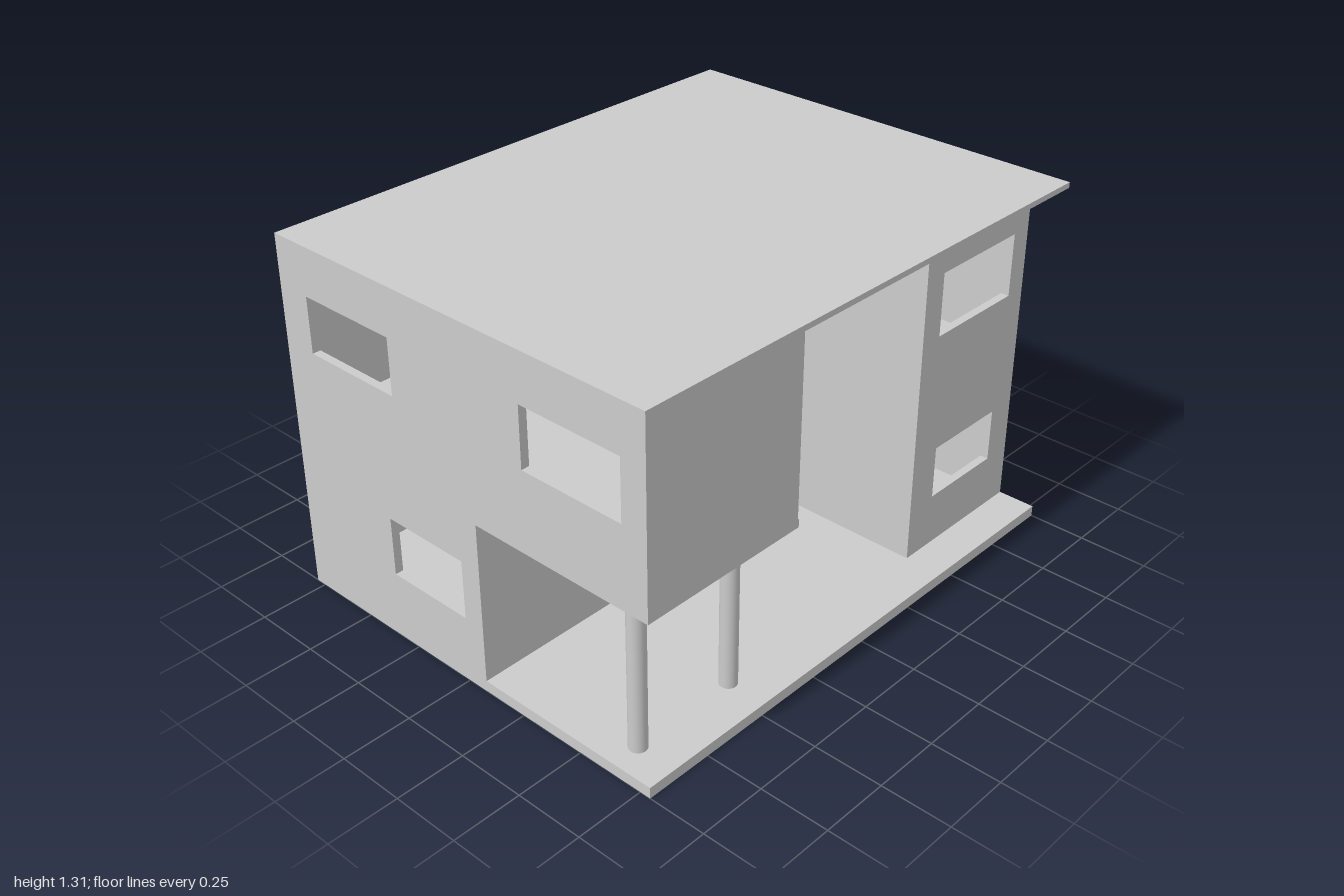
import * as THREE from 'three';

const T = 0.03; // wall thickness
const BACK = -0.79, FRONT = 0.79, MID = 0.08, WING = 0.65;
const LOW = [0.04, 0.63], UP = [0.66, 1.29];

export function createModel() {
  const house = new THREE.Group();
  house.name = 'house';
  const mat = new THREE.MeshStandardMaterial({ color: 0xcccccc });

  const add = (name, geo, x = 0, y = 0, z = 0) => {
    const m = new THREE.Mesh(geo, mat);
    m.name = name;
    m.position.set(x, y, z);
    house.add(m);
    return m;
  };

  const box = (name, x0, x1, y0, y1, z0, z1) =>
    add(name, new THREE.BoxGeometry(x1 - x0, y1 - y0, z1 - z0),
      (x0 + x1) / 2, (y0 + y1) / 2, (z0 + z1) / 2);

  // Wall panel from a to b, holes given as [a0, a1, y0, y1]
  const panel = (a, b, [y0, y1], holes) => {
    const s = new THREE.Shape([[a, y0], [b, y0], [b, y1], [a, y1]].map(p => new THREE.Vector2(...p)));
    for (const [h0, h1, v0, v1] of holes) {
      s.holes.push(new THREE.Path([[h0, v0], [h0, v1], [h1, v1], [h1, v0]].map(p => new THREE.Vector2(...p))));
    }
    return new THREE.ExtrudeGeometry(s, { depth: T, bevelEnabled: false });
  };
  // Wall facing front or back, its front face at z
  const wallZ = (name, z, a, b, ys, holes = []) => add(name, panel(a, b, ys, holes), 0, 0, z - T);
  // Wall facing sideways, its +x face at x
  const wallX = (name, x, a, b, ys, holes = []) => {
    add(name, panel(a, b, ys, holes), x).rotation.y = -Math.PI / 2;
  };

  // Base, roof and the notched floor between the storeys
  box('base', -1, 1, 0, 0.04, BACK, FRONT);
  box('roof', -1, 0.995, 1.29, 1.31, BACK, FRONT);
  const plan = new THREE.Shape([
    [-1, BACK], [1, BACK], [1, WING], [0.43, WING], [0.43, MID], [-0.355, MID], [-0.355, FRONT], [-1, FRONT],
  ].map(p => new THREE.Vector2(...p)));
  const floor = new THREE.ExtrudeGeometry(plan, { depth: 0.03, bevelEnabled: false });
  floor.rotateX(Math.PI / 2);
  add('upperFloor', floor, 0, 0.66, 0);

  // Back walls
  wallZ('backWallLower', BACK + T, -1, 1, LOW, [[0.57, 0.9, 0.235, 0.44], [-0.835, -0.69, 0.425, 0.568]]);
  wallZ('backWallUpper', BACK + T, -1, 1, UP, [[0.58, 0.9, 0.865, 1.075]]);

  // Plain side walls and the windowed side walls
  for (const [tag, ys] of [['Lower', LOW], ['Upper', UP]]) {
    wallX('leftWall' + tag, 1, BACK + T, WING - T, ys);
    wallX('wingInnerWall' + tag, 0.43 + T, BACK + T, WING - T, ys);
  }
  wallX('rightWallLower', -1 + T, BACK + T, MID - T, LOW, [[-0.34, 0, 0.245, 0.46]]);
  wallX('rightWallUpper', -1 + T, BACK + T, FRONT - T, UP,
    [[-0.66, -0.27, 0.935, 1.135], [0.3, 0.695, 0.92, 1.135]]);

  // Front of the wing with its two windows
  wallZ('wingFrontLower', WING, 0.43, 1, LOW, [[0.555, 0.89, 0.235, 0.43]]);
  wallZ('wingFrontUpper', WING, 0.43, 1, UP, [[0.52, 0.92, 0.875, 1.105]]);

  // Recessed entrance wall and balcony door wall
  wallZ('entranceWall', MID, -1, 0.43, LOW, [[-0.165, 0.158, 0.041, 0.42]]);
  wallZ('recessWallUpper', MID, -0.36, 0.43, UP, [[-0.205, 0.255, 0.664, 1.09]]);
  box('balconyDoor', -0.2, 0.25, 0.664, 1.09, MID - T, MID - 0.01);

  // Overhanging room
  wallZ('overhangFront', FRONT, -1, -0.36, UP);
  wallX('overhangInnerWall', -0.36, BACK + T, FRONT - T, UP);

  // Inner partitions
  wallX('partitionLower', -0.36, BACK + T, MID - T, LOW);
  wallZ('wingPartitionLower', MID, 0.68, 1 - T, LOW);
  wallZ('wingPartitionUpper', MID, 0.46, 1 - T, UP);

  // Pillars under the overhang
  for (const x of [-0.895, -0.49]) {
    add('pillar', new THREE.CylinderGeometry(0.031, 0.031, 0.59, 32), x, 0.335, 0.64);
  }

  // Round lamps
  for (const p of [[-0.715, 0.55, 0.43], [-0.028, 0.55, 0.43], [0.71, 1.21, -0.58]]) {
    add('lamp', new THREE.SphereGeometry(0.033, 24, 16), ...p);
  }

  return house;
}
